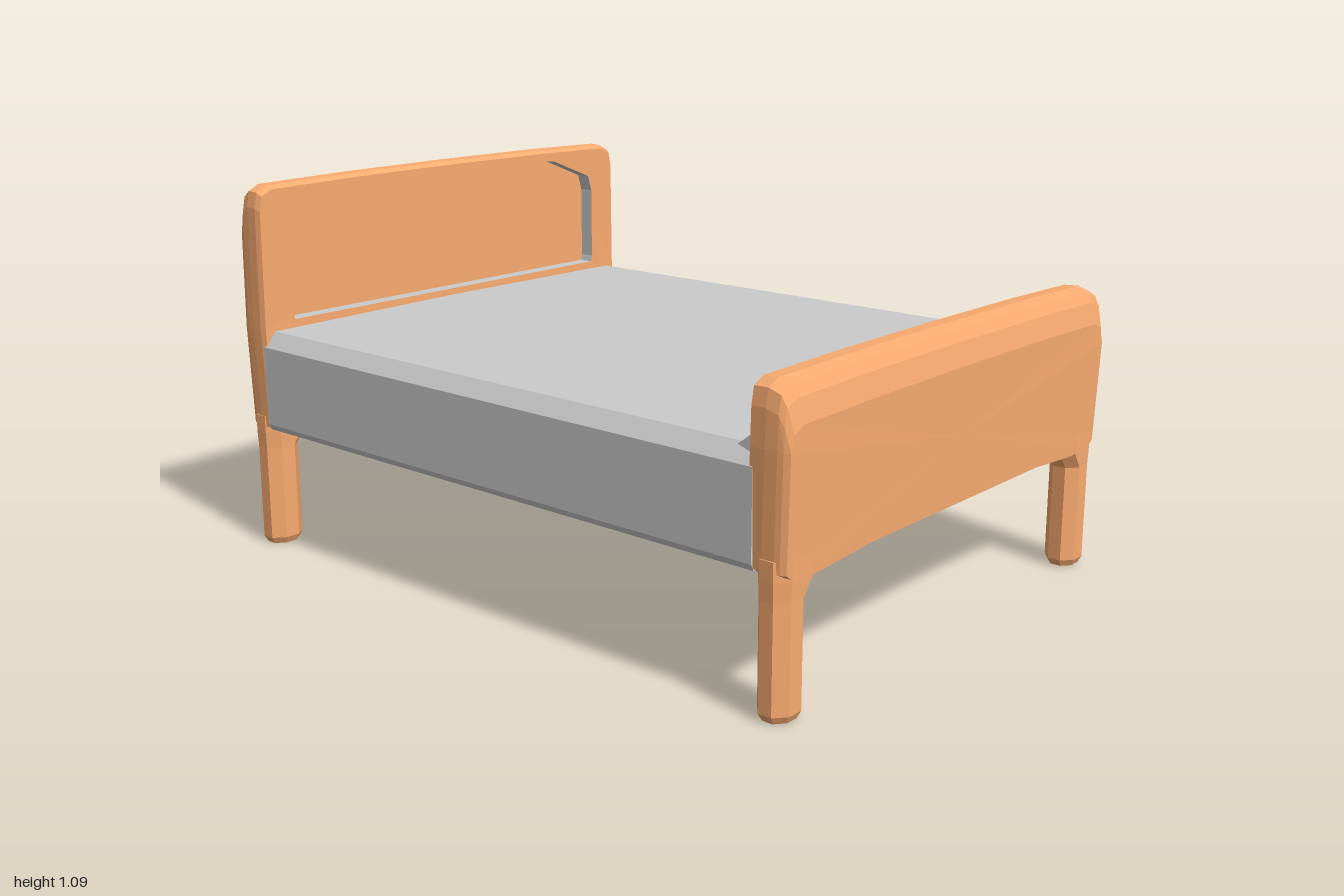
import * as THREE from 'three';

const wood = new THREE.MeshStandardMaterial({ color: 0xf9ab70, flatShading: true });
const cloth = new THREE.MeshStandardMaterial({ color: 0xcccccc, flatShading: true });

// Skin a row of equal-length rings; rings run clockwise seen from the far end
function loft(name, material, rings, capStart = true, capEnd = true) {
  const pos = [];
  const tri = (...pts) => pts.forEach((p) => pos.push(p.x, p.y, p.z));
  const n = rings[0].length;
  const cap = (ring, flip) => {
    const c = ring.reduce((s, p) => s.add(p), new THREE.Vector3()).divideScalar(n);
    ring.forEach((p, i) => {
      const q = ring[(i + 1) % n];
      flip ? tri(c, q, p) : tri(c, p, q);
    });
  };
  for (let r = 0; r + 1 < rings.length; r++) {
    for (let i = 0; i < n; i++) {
      const j = (i + 1) % n;
      const [a, b, c, d] = [rings[r][i], rings[r][j], rings[r + 1][i], rings[r + 1][j]];
      tri(a, c, b);
      tri(b, c, d);
    }
  }
  if (capStart) cap(rings[0], false);
  if (capEnd) cap(rings[rings.length - 1], true);
  const geometry = new THREE.BufferGeometry();
  geometry.setAttribute('position', new THREE.Float32BufferAttribute(pos, 3));
  geometry.computeVertexNormals();
  const mesh = new THREE.Mesh(geometry, material);
  mesh.name = name;
  return mesh;
}

// Mirror a half outline of [z, y] points into a full ring at the given x
function mirrorRing(half, x) {
  const other = half.slice(1, -1).reverse().map(([z, y]) => [-z, y]);
  return [...half, ...other].map(([z, y]) => new THREE.Vector3(x, y, z));
}

// Board outline with soft upper corners and slightly dropped lower corners
function boardRing(top, x, topInset, sideInset) {
  const half = [
    [0, 0.36], [0.4, 0.36], [0.6, 0.347], [0.7, 0.347], [0.742, 0.37], [0.747, 0.66],
    [0.744, top - 0.07], [0.735, top - 0.025], [0.7, top - 0.008], [0.4, top - 0.002], [0, top],
  ].map(([z, y], i) => [i > 3 && i < 9 ? z - sideInset : z, i > 5 ? y - topInset : y]);
  const ring = mirrorRing(half, x);
  ring.forEach((p) => { if (p.y < 0.5) p.x *= 0.99; });
  return ring;
}

// Tapered eight-sided leg that flares inwards under the board
function leg(sx, sz) {
  const rings = [[0, 0.8, 0], [0.02, 1, 0], [0.3, 1, 0], [0.35, 1.04, 0.035], [0.4, 1.04, 0.035]].map(([y, s, flare]) => {
    const ring = [];
    for (let i = 0; i < 8; i++) {
      const a = (i + 0.5) * Math.PI / 4;
      const k = s / Math.cos(Math.PI / 8);
      const dz = Math.sin(a) * 0.056 * k - (Math.sin(a) * sz < 0 ? sz * flare : 0);
      ring.push(new THREE.Vector3(sx * 0.943 + Math.cos(a) * 0.047 * k, y, sz * 0.687 + dz));
    }
    return ring;
  });
  return loft('leg', wood, rings);
}

export function createModel() {
  const bed = new THREE.Group();
  bed.name = 'bed';

  // Headboard with an arched recess on its inner face
  const arch = [
    [0, 0.68], [0.4, 0.68], [0.6, 0.68], [0.635, 0.68], [0.64, 0.7], [0.64, 0.83],
    [0.64, 0.93], [0.625, 0.98], [0.46, 1.045], [0.36, 1.053], [0, 1.068],
  ];
  const hole = mirrorRing(arch, -0.897);
  const recess = mirrorRing(arch, -0.945);
  const headRings = [[-1, 0.085, 0.012], [-0.975, 0.02, 0.002], [-0.95, 0, 0], [-0.915, 0.002, 0], [-0.897, 0.012, 0.005]]
    .map(([x, t, s]) => boardRing(1.09, x, t, s));
  bed.add(loft('headboard', wood, [...headRings, hole], true, false));
  bed.add(loft('headboardRecessEdge', cloth, [hole, recess], false, false));
  bed.add(loft('headboardPanel', wood, [recess], false, true));

  // Footboard with a rounded outer top edge
  const footRings = [[0.892, 0.002, 0.003], [0.935, 0, 0], [0.97, 0.012, 0.001], [0.985, 0.04, 0.004], [1, 0.1, 0.012]]
    .map(([x, t, s]) => boardRing(0.825, x, t, s));
  bed.add(loft('footboard', wood, footRings));

  // Mattress with sloped upper side edges
  const section = [[0, 0.362], [0.735, 0.362], [0.745, 0.38], [0.745, 0.612], [0.71, 0.655], [0, 0.66]];
  bed.add(loft('mattress', cloth, [-0.905, 0.9].map((x) => mirrorRing(section, x))));

  // Raised mattress corners against the footboard
  for (const side of [-1, 1]) {
    const rings = [[0.5, 0.662], [0.735, 0.69]].map(([z, y]) => [
      new THREE.Vector3(0.85, 0.655, side * z),
      new THREE.Vector3(0.895, y, side * z),
      new THREE.Vector3(0.895, 0.64, side * z),
    ]);
    bed.add(loft('mattressCorner', cloth, side > 0 ? rings : rings.reverse()));
  }

  for (const sx of [-1, 1]) for (const sz of [-1, 1]) bed.add(leg(sx, sz));
  return bed;
}
